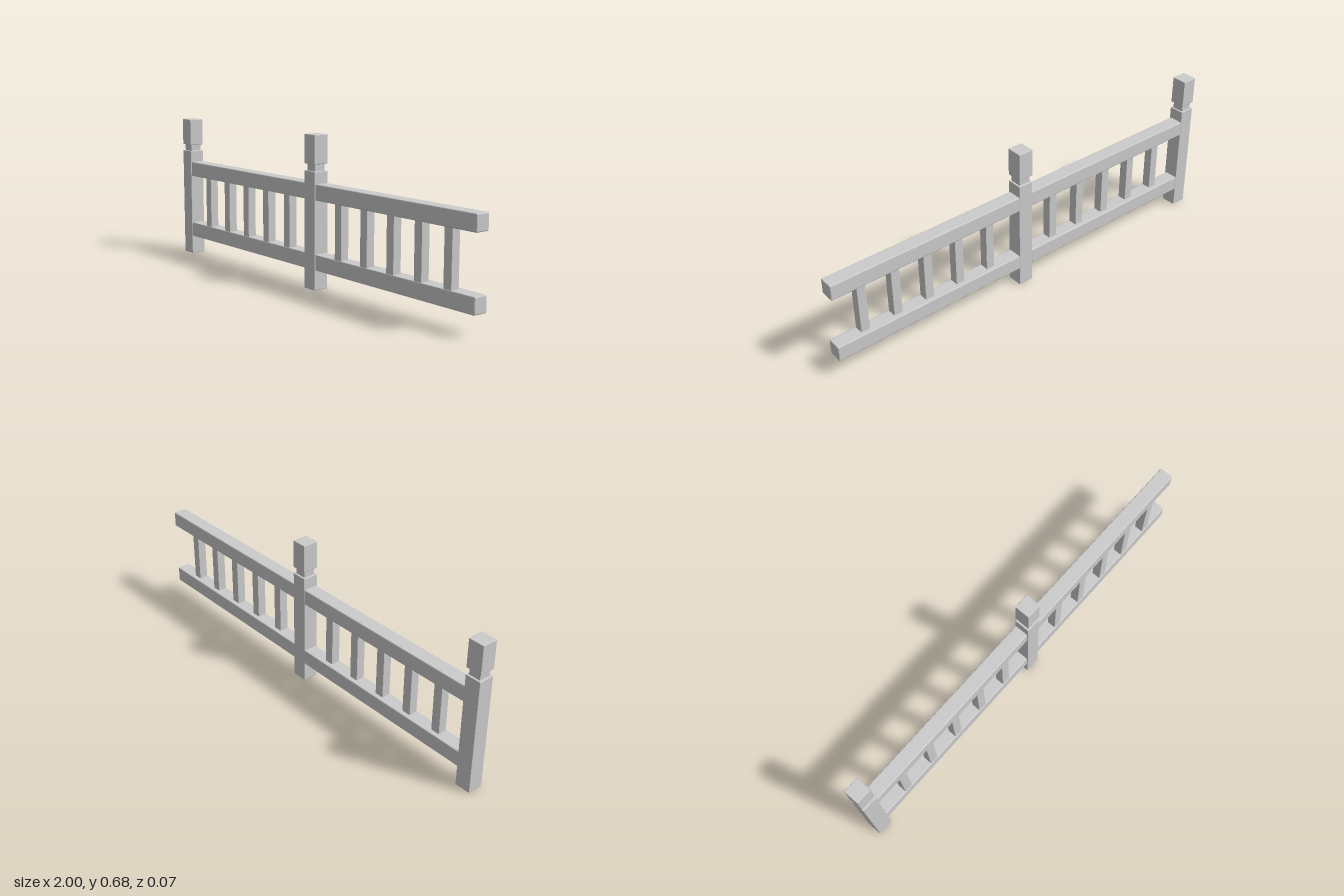
import * as THREE from 'three';
import { RoundedBoxGeometry } from 'three/addons/geometries/RoundedBoxGeometry.js';

const material = new THREE.MeshStandardMaterial({ color: 0xcccccc, flatShading: true });

// Box with slightly bevelled edges, given by its [min, max] range on each axis
function beam(name, [x0, x1], [y0, y1], [z0, z1], bevel) {
  const geometry = new RoundedBoxGeometry(x1 - x0, y1 - y0, z1 - z0, 1, bevel);
  const mesh = new THREE.Mesh(geometry, material);
  mesh.position.set((x0 + x1) / 2, (y0 + y1) / 2, (z0 + z1) / 2);
  mesh.name = name;
  return mesh;
}

// Square post with a narrow neck and a block cap
function createPost() {
  const post = new THREE.Group();
  post.name = 'post';
  const h = 0.036;
  post.add(
    beam('postShaft', [-h, h], [0, 0.52], [-h, h], 0.003),
    beam('postNeck', [-0.027, 0.027], [0.51, 0.56], [-0.027, 0.027], 0.001),
    beam('postCap', [-h, h], [0.55, 0.677], [-h, h], 0.003)
  );
  return post;
}

// One bay: post at the right end, two rails and five balusters
function createSection() {
  const section = new THREE.Group();
  section.name = 'fenceSection';
  const post = createPost();
  post.position.x = 0.036;
  section.add(post);

  const railZ = [-0.035, 0.031];
  section.add(
    beam('topRail', [0.06, 1.0], [0.395, 0.466], railZ, 0.005),
    beam('bottomRail', [0.06, 1.0], [0.088, 0.159], railZ, 0.005)
  );

  for (const x of [0.218, 0.381, 0.54, 0.698, 0.857]) {
    section.add(beam('baluster', [x - 0.021, x + 0.021], [0.15, 0.403], [-0.014, 0.028], 0.003));
  }
  return section;
}

export function createModel() {
  const fence = new THREE.Group();
  fence.name = 'fence';
  for (const x of [-0.999, -0.002]) {
    const section = createSection();
    section.position.x = x;
    fence.add(section);
  }
  return fence;
}
